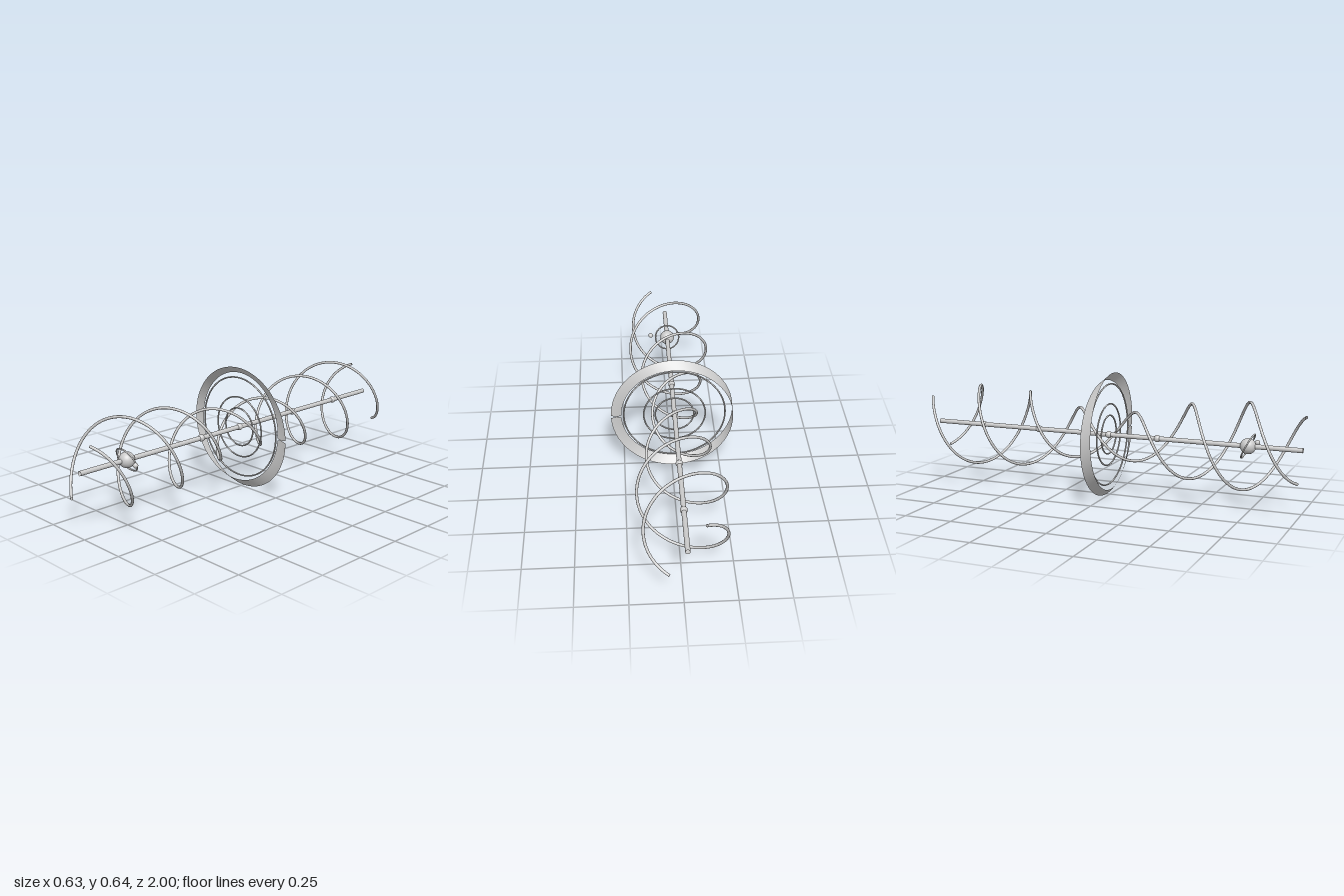
import * as THREE from 'three';

const AXIS_X = -0.014, AXIS_Y = 0.318;
const material = new THREE.MeshStandardMaterial({ color: 0xcccccc });
const thinMaterial = new THREE.MeshStandardMaterial({ color: 0xcccccc, side: THREE.DoubleSide });

function add(parent, name, geometry, x = 0, y = 0, z = 0, mat = material) {
  const mesh = new THREE.Mesh(geometry, mat);
  mesh.name = name;
  mesh.position.set(x, y, z);
  parent.add(mesh);
  return mesh;
}

// Helix around z whose radius swells and shrinks along the shaft
class SwellingHelix extends THREE.Curve {
  constructor(phase) {
    super();
    this.phase = phase;
  }
  getPoint(t, target = new THREE.Vector3()) {
    const z = (t * 2 - 1) * 0.994;
    const r = 0.164 - 0.0505 * Math.cos((Math.PI * z) / 0.67);
    const a = (2 * Math.PI * z) / 0.595 + this.phase;
    return target.set(r * Math.cos(a), r * Math.sin(a), z);
  }
}

// Ribbon with a half twist; its last segment returns unflipped, pinching at the seam
function twistedBand(R, halfWidth, segments, strips) {
  const positions = [], indices = [];
  for (let i = 0; i <= segments; i++) {
    const a = ((i % segments) / segments) * Math.PI * 2;
    for (let j = 0; j <= strips; j++) {
      const v = ((j / strips) * 2 - 1) * halfWidth;
      const r = R + v * Math.cos(a / 2);
      positions.push(r * Math.cos(a), r * Math.sin(a), v * Math.sin(a / 2));
      if (i < segments && j < strips) {
        const p = i * (strips + 1) + j, q = p + strips + 1;
        indices.push(p, p + 1, q, p + 1, q + 1, q);
      }
    }
  }
  const g = new THREE.BufferGeometry();
  g.setAttribute('position', new THREE.Float32BufferAttribute(positions, 3));
  g.setIndex(indices);
  g.computeVertexNormals();
  return g;
}

export function createModel() {
  const model = new THREE.Group();
  model.name = 'twistedOrbitSculpture';
  const body = new THREE.Group();
  body.name = 'axisAssembly';
  body.position.set(AXIS_X, AXIS_Y, 0);
  model.add(body);

  // Central open-ended shaft and its beads
  const shaft = new THREE.CylinderGeometry(0.012, 0.012, 2, 24, 1, true).rotateX(Math.PI / 2);
  add(body, 'shaft', shaft, 0, 0, 0, thinMaterial);
  const bead = new THREE.SphereGeometry(0.018, 24, 16);
  for (const z of [-0.73, -0.398, 0, 0.264]) add(body, 'bead', bead, 0, 0, z);

  // Pair of opposed helices
  for (const phase of [0, Math.PI]) {
    add(body, 'helix', new THREE.TubeGeometry(new SwellingHelix(phase), 320, 0.007, 10, false), 0, 0, 0, thinMaterial);
  }

  // Flat concentric rings and the half-twisted band at the middle
  for (const r of [0.099, 0.158, 0.26]) {
    add(body, 'concentricRing', new THREE.TorusGeometry(r, 0.004, 10, 96));
  }
  add(body, 'twistedBand', twistedBand(0.299, 0.0268, 150, 12), 0, 0, 0, thinMaterial);

  // Globe with tilted ring and small moon
  const planet = new THREE.Group();
  planet.name = 'planet';
  planet.position.z = 0.731;
  body.add(planet);
  add(planet, 'globe', new THREE.SphereGeometry(0.039, 32, 24));
  add(planet, 'planetRing', new THREE.TorusGeometry(0.066, 0.004, 10, 64)).rotation.x = 0.46;
  add(planet, 'moon', new THREE.SphereGeometry(0.013, 20, 14), 0.093, 0.001, 0.023);

  return model;
}
